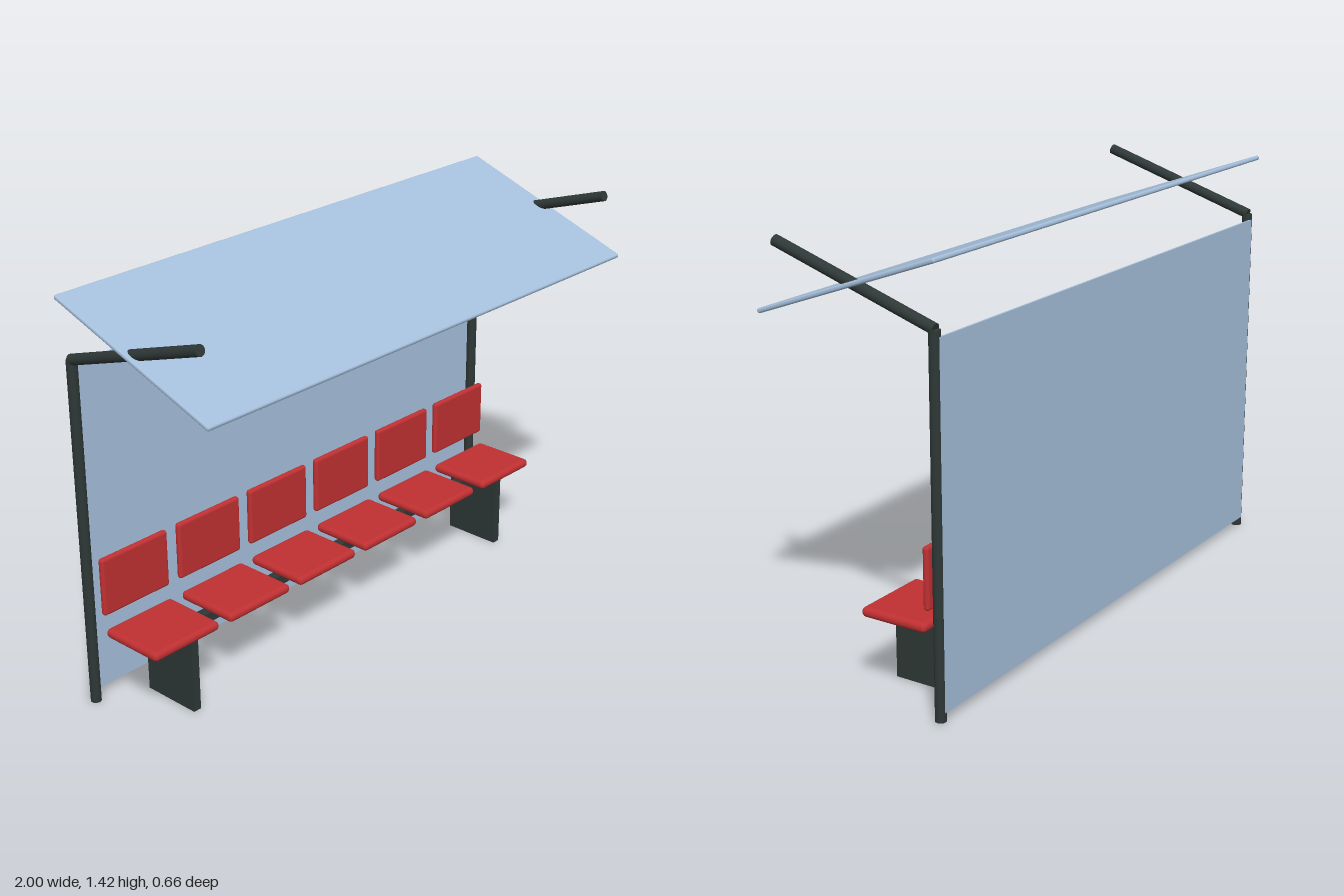
import * as THREE from 'three';
import { RoundedBoxGeometry } from 'three/addons/geometries/RoundedBoxGeometry.js';

function material(name, color) {
  const m = new THREE.MeshStandardMaterial({ color });
  m.name = name;
  return m;
}

export function createModel() {
  const group = new THREE.Group();
  group.name = 'busShelter';

  const panelBlue = material('panelBlue', 0xa5bfdb);
  const seatRed = material('seatRed', 0xc03032);
  const frameDark = material('frameDark', 0x2e3836);

  function add(name, geometry, mat, x, y, z) {
    const mesh = new THREE.Mesh(geometry, mat);
    mesh.name = name;
    mesh.position.set(x, y, z);
    group.add(mesh);
    return mesh;
  }

  // Round bar between two points
  function bar(name, from, to, radius) {
    const length = from.distanceTo(to);
    const mid = from.clone().lerp(to, 0.5);
    const mesh = add(name, new THREE.CylinderGeometry(radius, radius, length, 24), frameDark, mid.x, mid.y, mid.z);
    mesh.quaternion.setFromUnitVectors(new THREE.Vector3(0, 1, 0), to.clone().sub(from).normalize());
  }

  // Posts, sloping roof arms and bench legs, mirrored
  for (const [side, s] of [['left', 1], ['right', -1]]) {
    const x = 0.968 * s;
    bar(side + 'Post', new THREE.Vector3(x, 0, -0.302), new THREE.Vector3(x, 1.21, -0.302), 0.018);
    bar(side + 'RoofArm', new THREE.Vector3(x, 1.211, -0.304), new THREE.Vector3(x, 1.397, 0.272), 0.018);
    add(side + 'BenchLeg', new THREE.BoxGeometry(0.03, 0.262, 0.217), frameDark, 0.785 * s, 0.131, -0.119);
  }

  // Back wall, fixed to the rear of the posts
  add('backWall', new THREE.BoxGeometry(1.94, 1.16, 0.007), panelBlue, 0, 0.61, -0.3165);

  // Roof panel, low at the front, crossing the arms
  const roof = add('roof', new RoundedBoxGeometry(2, 0.016, 0.695, 3, 0.007), panelBlue, 0, 1.298, 0);
  roof.rotation.x = 0.347;

  // Bench beam under the seats
  add('benchBeam', new THREE.BoxGeometry(1.82, 0.035, 0.036), frameDark, 0, 0.2475, -0.118);

  // Six seats with separate backrests
  for (let i = 0; i < 6; i++) {
    const x = (i - 2.5) * 0.328;
    add('seat' + (i + 1), new RoundedBoxGeometry(0.28, 0.033, 0.24, 4, 0.0155), seatRed, x, 0.2765, -0.12);
    add('backrest' + (i + 1), new RoundedBoxGeometry(0.28, 0.205, 0.022, 4, 0.0105), seatRed, x, 0.44, -0.246);
  }

  return group;
}
